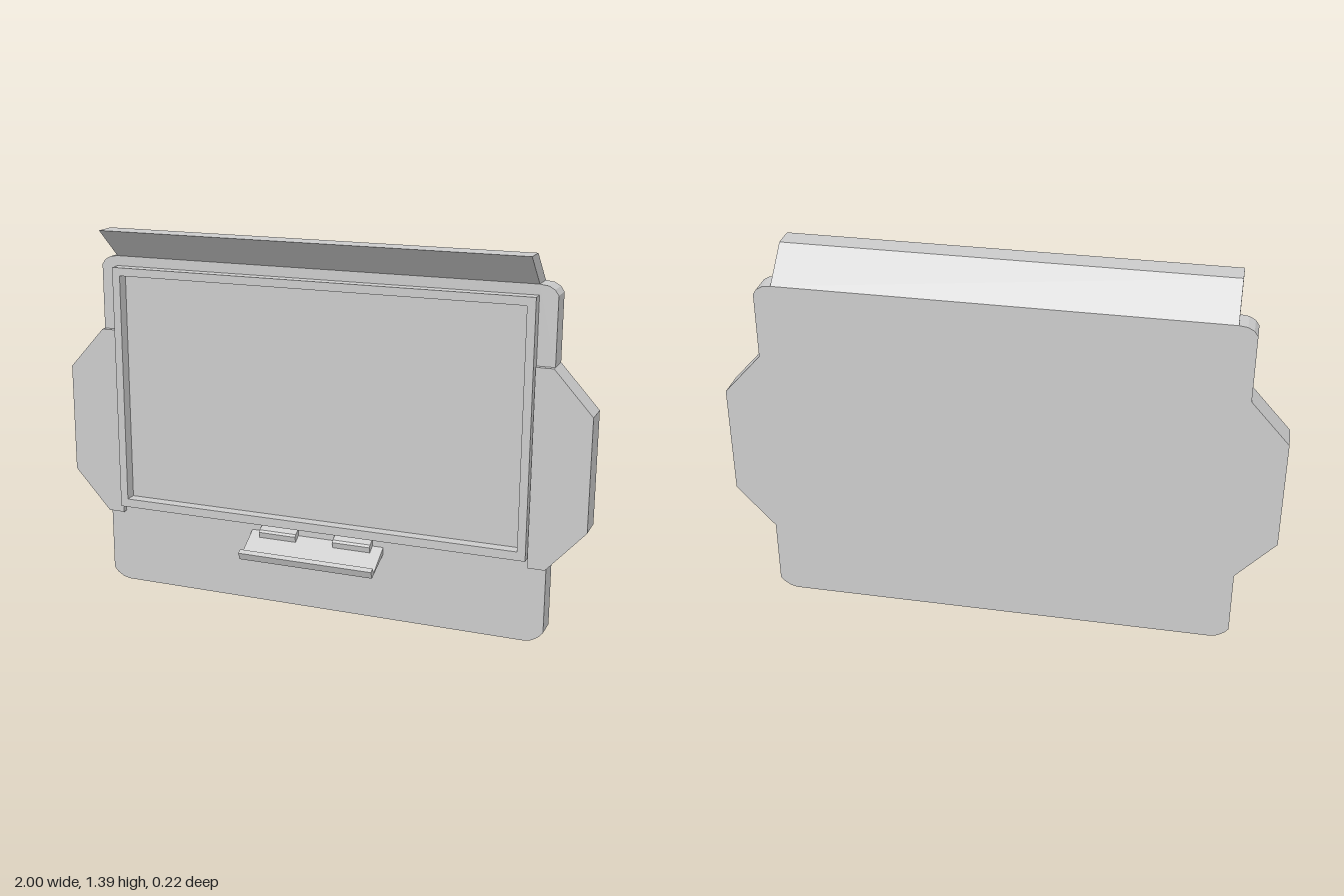
import * as THREE from 'three';

const BACK = -0.107, FACE = -0.022;

const outline = (pts) => new THREE.Shape(pts.map(([x, y]) => new THREE.Vector2(x, y)));
const rect = (x, y0, y1) => [[-x, y0], [x, y0], [x, y1], [-x, y1]];

export function createModel() {
  const group = new THREE.Group();
  const material = new THREE.MeshStandardMaterial({ color: 0xcccccc });

  const add = (name, geometry) => {
    const mesh = new THREE.Mesh(geometry, material);
    mesh.name = name;
    group.add(mesh);
    return mesh;
  };
  // front outline given thickness between two depths
  const slab = (shape, z0, z1) =>
    new THREE.ExtrudeGeometry(shape, { depth: z1 - z0, bevelEnabled: false }).translate(0, 0, z0);
  // side profile in (z, y), swept along x around a centre
  const sweep = (profile, width, cx = 0) =>
    new THREE.ExtrudeGeometry(outline(profile), { depth: width, bevelEnabled: false })
      .translate(0, 0, -width / 2).rotateY(-Math.PI / 2).translate(cx, 0, 0);

  // Body: rounded board with a tapered wing on each side
  const wing = [[0.86, 0.283], [1, 0.438], [1, 0.847], [0.86, 1.002]];
  const half = [
    [0.795, 0], [0.82, 0.006], [0.845, 0.022], [0.86, 0.04],
    ...wing,
    [0.86, 1.245], [0.847, 1.264], [0.825, 1.276], [0.795, 1.28],
  ];
  const mirrored = half.map(([x, y]) => [-x, y]).reverse();
  add('body', slab(outline([...half, ...mirrored]), BACK, FACE));

  // Raised plates on the wings
  for (const [side, s] of [['left', 1], ['right', -1]]) {
    const pts = [[0.797, 0.283], ...wing, [0.797, 1.002]].map(([x, y]) => [s * x, y]);
    add(side + 'WingPlate', slab(outline(pts), FACE, -0.002));
  }

  // Frame around the recessed board surface
  const frame = outline(rect(0.795, 0.315, 1.243));
  frame.holes.push(outline(rect(0.765, 0.347, 1.213)));
  add('boardFrame', slab(frame, FACE, 0.022));

  // Slanted hood along the top
  add('hood', sweep([[BACK, 1.28], [FACE, 1.28], [0.105, 1.39], [0.02, 1.39]], 1.59));

  // Sloping tray with an upturned lip
  add('tray', sweep([
    [FACE, 0.25], [0.097, 0.2], [0.108, 0.227], [0.09, 0.236], [0.079, 0.214], [FACE, 0.277],
  ], 0.52));

  // Two small blocks at the back of the tray
  for (const [side, s] of [['left', 1], ['right', -1]]) {
    add(side + 'TrayBlock', sweep([
      [FACE, 0.27], [0.005, 0.258], [0.01, 0.281], [0.005, 0.29], [FACE, 0.302],
    ], 0.145, s * 0.146));
  }

  return group;
}
